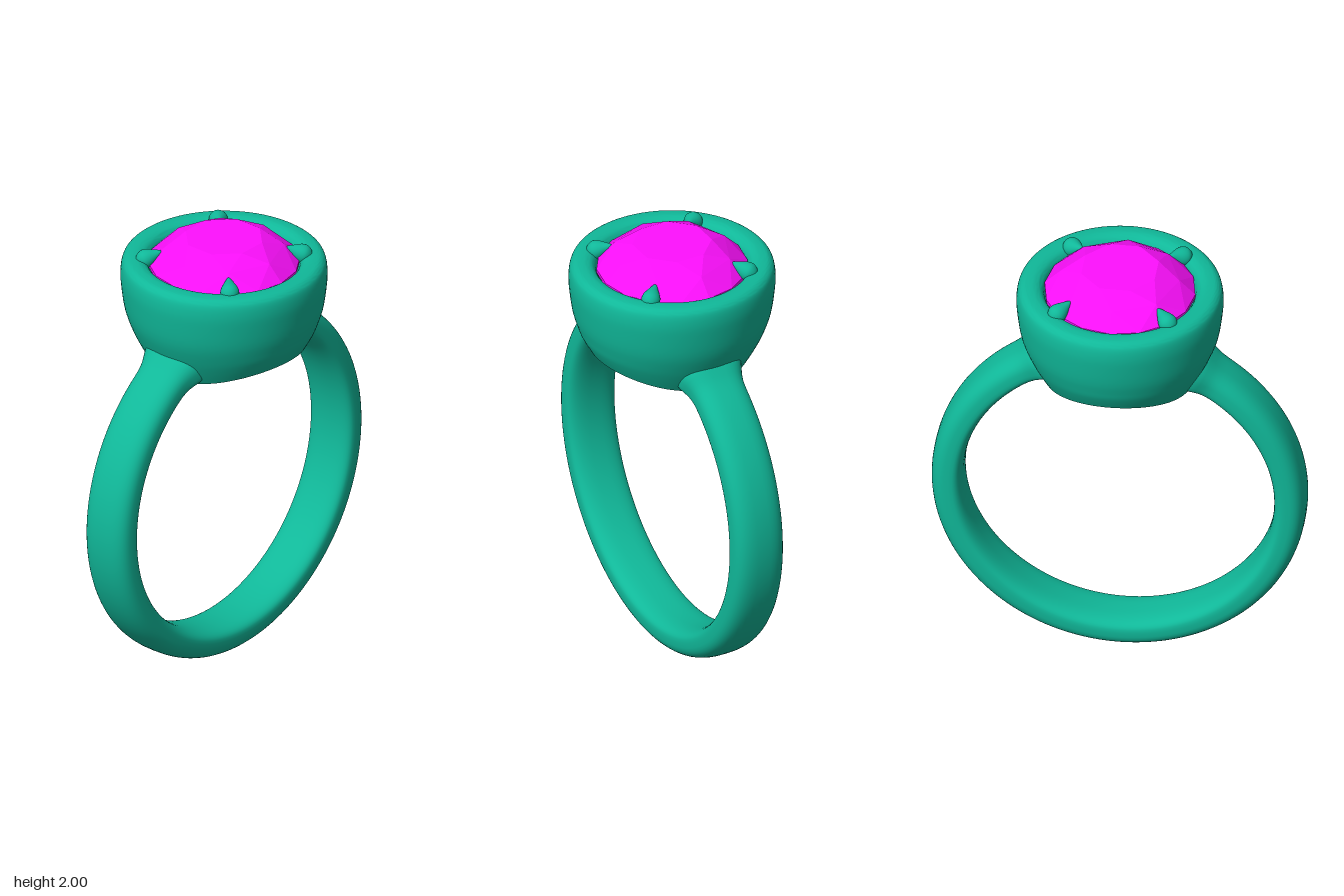
import * as THREE from 'three';
import { toCreasedNormals } from 'three/addons/utils/BufferGeometryUtils.js';
import { ConvexGeometry } from 'three/addons/geometries/ConvexGeometry.js';

const metal = new THREE.MeshStandardMaterial({ color: 0x10b899 });
const stone = new THREE.MeshStandardMaterial({ color: 0xff10ff, flatShading: true });
const CY = 0.825;    // height of the finger hole's centre
const INNER = 0.685; // radius of the finger hole

const v2 = ([r, y]) => new THREE.Vector2(r, y);

// Open hoop with a cushion-shaped section, flaring where it meets the setting
function bandGeometry() {
  const steps = 160, sides = 40, gap = THREE.MathUtils.degToRad(25);
  const pos = [], index = [];
  const soft = (c) => Math.sign(c) * Math.pow(Math.abs(c), 0.72);
  for (let i = 0; i <= steps; i++) {
    const a = gap + (i / steps) * (2 * Math.PI - 2 * gap); // measured from the top
    const fromEnd = Math.min(a, 2 * Math.PI - a) - gap;
    const flare = 0.035 * Math.exp(-Math.pow(fromEnd / 0.09, 2));
    for (let j = 0; j < sides; j++) {
      const t = (j / sides) * 2 * Math.PI;
      const c = soft(Math.cos(t));
      const r = INNER + 0.055 + c * (c > 0 ? 0.085 + flare : 0.055);
      const z = soft(Math.sin(t)) * (0.12 + flare);
      pos.push(r * Math.sin(a), CY + r * Math.cos(a), z);
      if (i < steps) {
        const p = i * sides + j, q = i * sides + (j + 1) % sides;
        index.push(p, q, p + sides, q, q + sides, p + sides);
      }
    }
  }
  const g = new THREE.BufferGeometry();
  g.setAttribute('position', new THREE.Float32BufferAttribute(pos, 3));
  g.setIndex(index);
  g.computeVertexNormals();
  return g;
}

// Cup with a rounded rim and a through hole; its foot follows the finger hole
function settingGeometry() {
  const foot = 1.42, shoulder = 1.62;
  const outside = new THREE.SplineCurve([
    [0.325, foot], [0.37, 1.505], [0.405, 1.58], [0.435, 1.67], [0.45, 1.78],
    [0.452, 1.84], [0.444, 1.885], [0.425, 1.905], [0.405, 1.91],
    [0.375, 1.91], [0.35, 1.9], [0.335, 1.88], [0.33, 1.86],
  ].map(v2)).getPoints(48);
  const inside = [
    [0.2, 1.74], [0.2, shoulder], [0.24, 1.59], [0.24, 1.5], [0.24, foot],
    [0.27, foot], [0.3, foot], [0.325, foot],
  ].map(v2);
  const g = new THREE.LatheGeometry([...outside, ...inside], 96);
  const p = g.attributes.position;
  for (let i = 0; i < p.count; i++) {
    const x = p.getX(i), y = p.getY(i), z = p.getZ(i);
    if (y >= shoulder) continue;
    const cut = CY + Math.sqrt(INNER * INNER - x * x);
    const ny = cut + (y - foot) / (shoulder - foot) * (shoulder - cut);
    const r = Math.hypot(x, z), k = (r + 0.5 * (ny - y)) / r;
    p.setXYZ(i, x * k, ny, z * k);
  }
  return toCreasedNormals(g, 0.7);
}

// Round brilliant: table, crown, girdle, pavilion and point
function gemGeometry() {
  const pts = [new THREE.Vector3(0, 1.53, 0)];
  const ring = (n, r, y, turn) => {
    for (let i = 0; i < n; i++) {
      const a = ((i + turn) / n) * 2 * Math.PI;
      pts.push(new THREE.Vector3(r * Math.sin(a), y, r * Math.cos(a)));
    }
  };
  ring(8, 0.175, 2.0, 0.5);
  ring(8, 0.262, 1.955, 0);
  ring(16, 0.332, 1.885, 0);
  ring(16, 0.332, 1.868, 0);
  ring(8, 0.085, 1.605, 0.5);
  return new ConvexGeometry(pts);
}

// Teardrop bead along +y, round at the back and pointed at the tip
function prongGeometry() {
  const profile = new THREE.SplineCurve([
    [0, -0.042], [0.026, -0.033], [0.041, -0.008], [0.038, 0.018],
    [0.022, 0.05], [0.008, 0.076], [0, 0.08],
  ].map(v2)).getPoints(24);
  profile.forEach((q) => { q.x = Math.max(q.x, 0); });
  return new THREE.LatheGeometry(profile, 24);
}

export function createModel() {
  const group = new THREE.Group();
  const add = (name, geometry, material) => {
    const mesh = new THREE.Mesh(geometry, material);
    mesh.name = name;
    group.add(mesh);
    return mesh;
  };

  add('band', bandGeometry(), metal);
  add('setting', settingGeometry(), metal);
  add('gem', gemGeometry(), stone);

  // Four claws leaning inward over the gem
  const claw = prongGeometry();
  for (let i = 0; i < 4; i++) {
    const a = Math.PI / 4 + i * Math.PI / 2;
    const x = Math.cos(a), z = Math.sin(a);
    const prong = add('prong', claw, metal);
    prong.position.set(0.345 * x, 1.905, 0.345 * z);
    prong.quaternion.setFromUnitVectors(
      new THREE.Vector3(0, 1, 0),
      new THREE.Vector3(-x, 0.45, -z).normalize(),
    );
  }
  return group;
}
